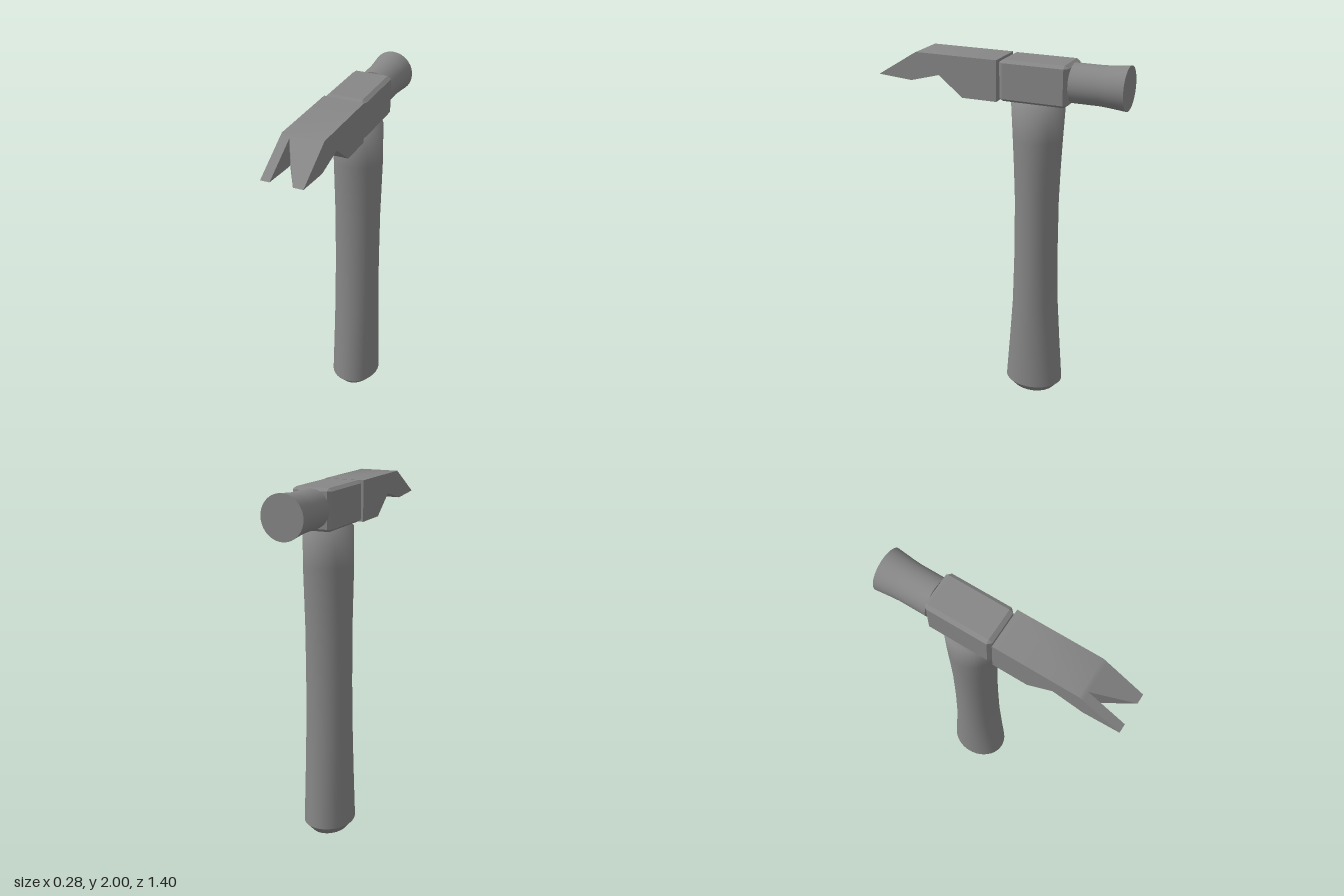
import * as THREE from 'three';
import { toCreasedNormals } from 'three/addons/utils/BufferGeometryUtils.js';
import { ConvexGeometry } from 'three/addons/geometries/ConvexGeometry.js';

const HALF_WIDTH = 0.113;

export function createModel() {
  const group = new THREE.Group();
  const material = new THREE.MeshStandardMaterial({ color: 0x868686 });

  const add = (name, geometry) => {
    const mesh = new THREE.Mesh(geometry, material);
    mesh.name = name;
    group.add(mesh);
    return mesh;
  };

  // Side profile of [z, y] points extruded across x
  const sideExtrude = (points, xMin, xMax) => {
    const shape = new THREE.Shape(points.map(([z, y]) => new THREE.Vector2(z, y)));
    return new THREE.ExtrudeGeometry(shape, { depth: xMax - xMin, bevelEnabled: false })
      .rotateY(-Math.PI / 2)
      .translate(xMax, 0, 0);
  };

  // Oval rings of [y, half width in x, half depth in z], from bottom to top
  const ovalLathe = (rings, creaseAngle) => {
    const geometry = new THREE.LatheGeometry(rings.map(([y]) => new THREE.Vector2(1, y)), 40);
    const p = geometry.attributes.position;
    for (let i = 0; i < p.count; i++) {
      const [, rx, rz] = rings[i % rings.length];
      p.setX(i, p.getX(i) * rx);
      p.setZ(i, p.getZ(i) * rz);
    }
    return toCreasedNormals(geometry, creaseAngle).translate(0, 0, -0.205);
  };

  // Handle: chamfered butt, then a waisted shaft with a softly shaded top rim
  add('handleButt', ovalLathe([[0, 0, 0], [0, 0.1, 0.122], [0.05, 0.142, 0.168]], 0.5));
  add('handleShaft', ovalLathe([
    [0.05, 0.142, 0.168], [0.3, 0.137, 0.149], [0.56, 0.133, 0.131],
    [0.88, 0.13, 0.122], [1.2, 0.131, 0.121], [1.4, 0.135, 0.128],
    [1.56, 0.138, 0.136], [1.763, 0.132, 0.149], [1.763, 0, 0],
  ], 2));

  // Head block: box with every edge chamfered
  const half = [HALF_WIDTH, 0.111, 0.192];
  const chamfer = [0.021, 0.015, 0.021];
  const corners = [];
  for (const sx of [-1, 1]) for (const sy of [-1, 1]) for (const sz of [-1, 1]) {
    for (let full = 0; full < 3; full++) {
      const [x, y, z] = half.map((h, axis) => (axis === full ? h : h - chamfer[axis]));
      corners.push(new THREE.Vector3(sx * x, sy * y, sz * z));
    }
  }
  add('headBlock', new ConvexGeometry(corners)).position.set(0, 1.877, -0.21);

  // Striking face on a flared round neck
  const neckProfile = [
    [0, 0.402], [0.105, 0.402], [0.105, 0.56], [0.108, 0.6], [0.118, 0.7], [0, 0.7],
  ].map(([r, d]) => new THREE.Vector2(r, d));
  const neck = new THREE.LatheGeometry(neckProfile, 40).rotateX(-Math.PI / 2);
  add('strikingFace', toCreasedNormals(neck, 0.5)).position.y = 1.881;

  // Claw body, up to the root of the notch
  const notchZ = 0.487;
  const notchX = -0.063;
  const body = sideExtrude([
    [-0.009, 1.762], [0.19, 1.762], [0.33, 1.872], [notchZ, 1.83],
    [notchZ, 1.972], [0.465, 1.985], [-0.009, 1.985],
  ], -HALF_WIDTH, HALF_WIDTH);
  add('clawBody', toCreasedNormals(body, 0.6));

  // Claw prongs: one straight, one with its inner wall slanting away from the notch
  const prong = [[notchZ, 1.83], [0.5, 1.827], [0.699, 1.842], [notchZ, 1.972]];
  add('straightProng', sideExtrude(prong, -HALF_WIDTH, notchX));

  const slanted = sideExtrude(prong, notchX, HALF_WIDTH);
  const sp = slanted.attributes.position;
  for (let i = 0; i < sp.count; i++) {
    if (sp.getX(i) < 0) sp.setX(i, notchX + (sp.getZ(i) - notchZ) * 0.575);
  }
  slanted.computeVertexNormals();
  add('slantedProng', slanted);

  return group;
}
